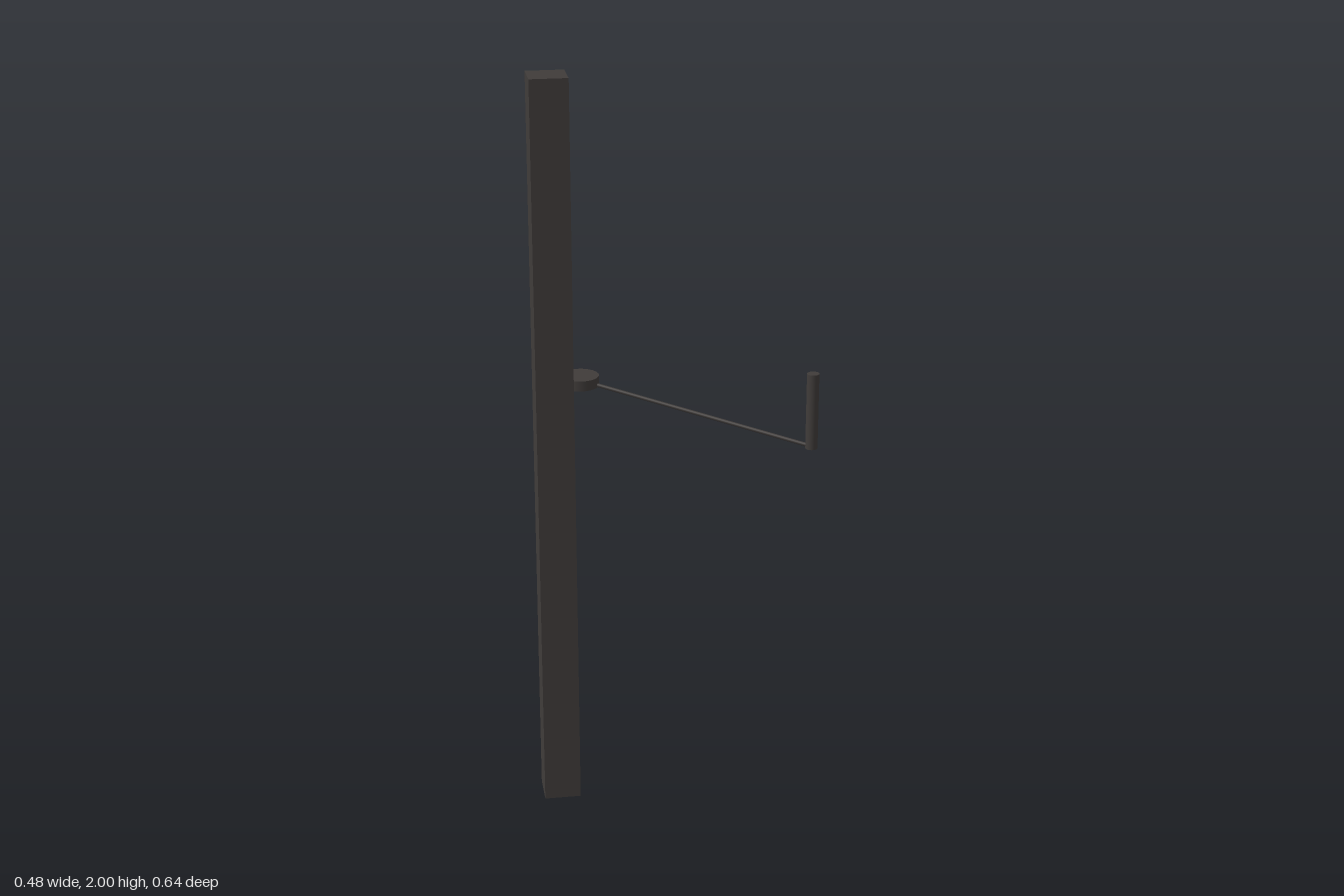
import * as THREE from 'three';

export function createModel() {
  const model = new THREE.Group();
  const darkMetal = new THREE.MeshStandardMaterial({ color: 0x403c3a });

  const add = (name, geometry, x, y, z) => {
    const mesh = new THREE.Mesh(geometry, darkMetal);
    mesh.name = name;
    mesh.position.set(x, y, z);
    model.add(mesh);
    return mesh;
  };

  // Tall square post, turned 30 degrees
  const post = add('post', new THREE.BoxGeometry(0.098, 2, 0.098), -0.174, 1, -0.252);
  post.rotation.y = -Math.PI / 6;

  // Round bracket half sunk into the post's face
  const hub = new THREE.Vector3(-0.113, 1.203, -0.2165);
  add('bracketDisc', new THREE.CylinderGeometry(0.049, 0.049, 0.027, 32), hub.x, hub.y, hub.z);

  // Upright handle at the end of the arm
  const tip = new THREE.Vector3(0.225, 1.096, 0.301);
  add('handle', new THREE.CylinderGeometry(0.0155, 0.0155, 0.199, 24), tip.x, 1.1905, tip.z);

  // Thin sloping arm from the bracket to the foot of the handle
  const span = tip.clone().sub(hub);
  const middle = hub.clone().add(tip).multiplyScalar(0.5);
  const arm = add('arm', new THREE.CylinderGeometry(0.005, 0.005, span.length(), 16), middle.x, middle.y, middle.z);
  arm.quaternion.setFromUnitVectors(new THREE.Vector3(0, 1, 0), span.normalize());

  return model;
}
